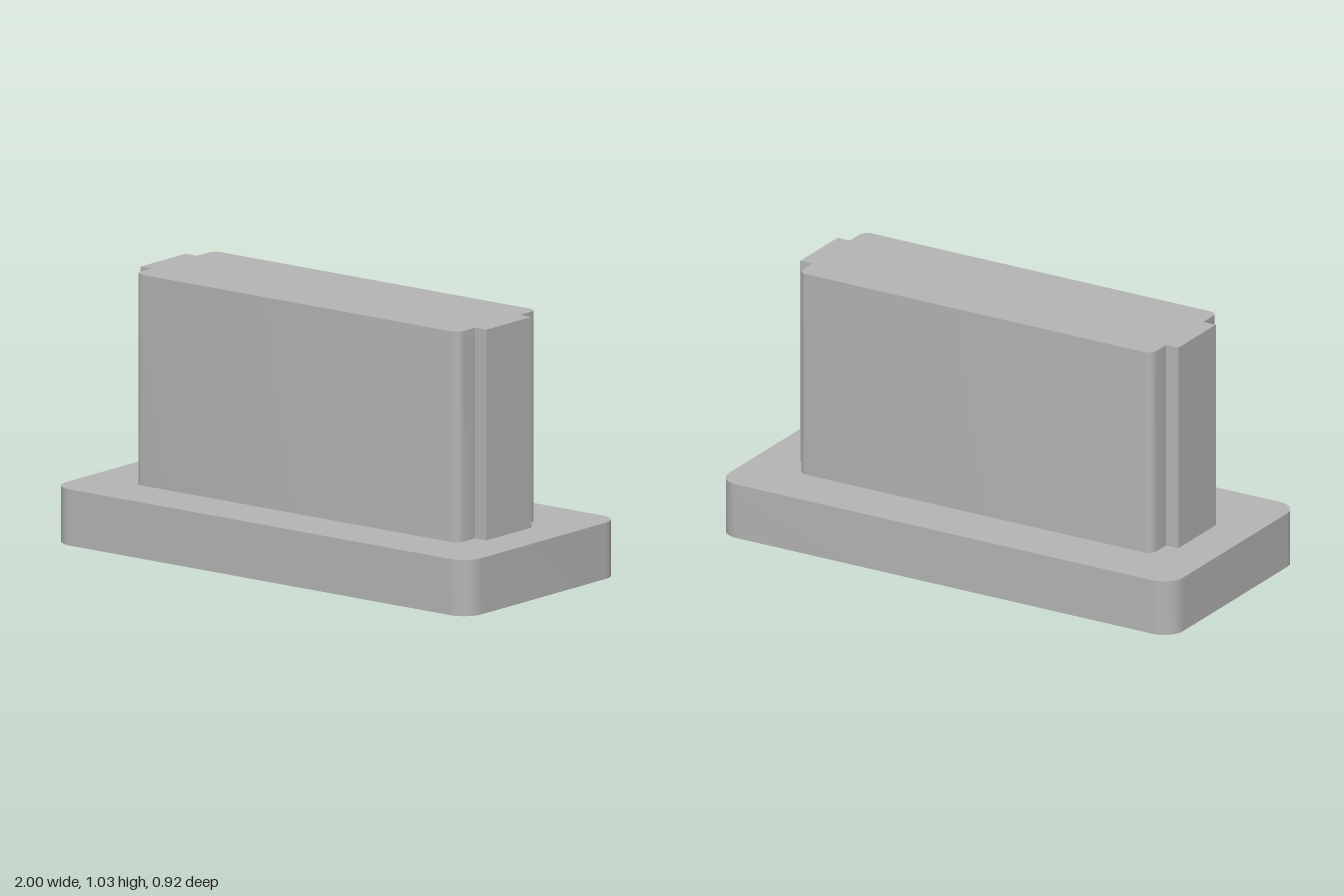
import * as THREE from 'three';
import { toCreasedNormals } from 'three/addons/utils/BufferGeometryUtils.js';

const BASE_TOP = 0.217;
const TOP = 1.03;

// Rounded corners, counter-clockwise; sideTab adds a square rib at each end
function outline(hx, hz, r, sideTab) {
  const s = new THREE.Shape();
  const tab = (sign) => {
    if (!sideTab) return;
    const { x, z } = sideTab;
    s.lineTo(sign * hx, -sign * z);
    s.lineTo(sign * x, -sign * z);
    s.lineTo(sign * x, sign * z);
    s.lineTo(sign * hx, sign * z);
  };
  s.moveTo(-hx + r, -hz);
  s.lineTo(hx - r, -hz);
  s.absarc(hx - r, -hz + r, r, -Math.PI / 2, 0);
  tab(1);
  s.absarc(hx - r, hz - r, r, 0, Math.PI / 2);
  s.absarc(-hx + r, hz - r, r, Math.PI / 2, Math.PI);
  tab(-1);
  s.absarc(-hx + r, -hz + r, r, Math.PI, Math.PI * 1.5);
  s.closePath();
  return s;
}

// Upright prism from y0 to y1, smooth round corners and sharp edges
function prism(name, shape, y0, y1, material) {
  const extruded = new THREE.ExtrudeGeometry(shape, {
    depth: y1 - y0, bevelEnabled: false, curveSegments: 12,
  });
  extruded.rotateX(-Math.PI / 2);
  extruded.translate(0, y0, 0);
  const mesh = new THREE.Mesh(toCreasedNormals(extruded, Math.PI / 6), material);
  mesh.name = name;
  return mesh;
}

export function createModel() {
  const model = new THREE.Group();
  model.name = 'flangedPlug';
  const grey = new THREE.MeshStandardMaterial({ color: 0xb4b4b4 });
  grey.name = 'plain grey';

  // Wide rounded flange
  model.add(prism('baseFlange', outline(1, 0.458, 0.085), 0, BASE_TOP, grey));

  // Upright block with a rib down each end
  model.add(prism('plugBody', outline(0.778, 0.238, 0.035, { x: 0.832, z: 0.135 }), BASE_TOP, TOP, grey));

  return model;
}
